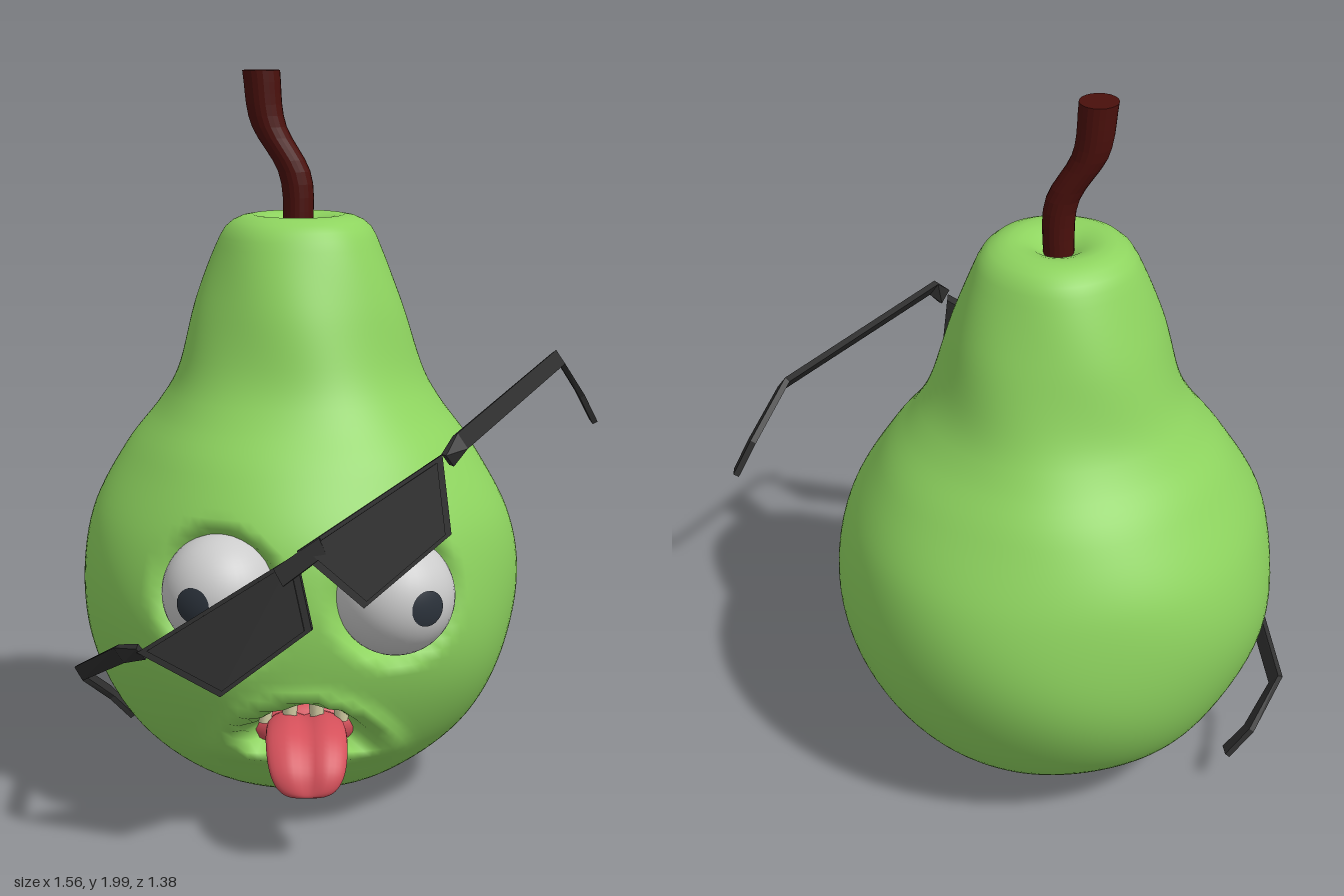
import * as THREE from 'three';
import { mergeVertices } from 'three/addons/utils/BufferGeometryUtils.js';
import { ConvexGeometry } from 'three/addons/geometries/ConvexGeometry.js';

const V = (x, y, z) => new THREE.Vector3(x, y, z);
const mat = (color) => new THREE.MeshStandardMaterial({ color });
const green = mat(0x8ed45f), dark = mat(0x2e2e2e), brown = mat(0x4a100c), pink = mat(0xd4505a);
const white = mat(0xcccccc), pupilMat = mat(0x2c333c), ivory = mat(0xd8d2a8);

function add(parent, name, geometry, material) {
  const mesh = new THREE.Mesh(geometry, material);
  mesh.name = name;
  parent.add(mesh);
  return mesh;
}

// Move every vertex by a rule, then weld and smooth
function warp(geometry, rule) {
  const p = geometry.attributes.position, v = V(0, 0, 0);
  for (let i = 0; i < p.count; i++) {
    rule(v.fromBufferAttribute(p, i));
    p.setXYZ(i, v.x, v.y, v.z);
  }
  geometry.deleteAttribute('uv');
  geometry.deleteAttribute('normal');
  const welded = mergeVertices(geometry, 1e-4);
  welded.computeVertexNormals();
  return welded;
}

// Eye centres in face space (face looks along local +z)
const EYES = [
  { name: 'leftEye', c: V(0.23, 0.685, 0.515), r: 0.155 },
  { name: 'rightEye', c: V(-0.215, 0.685, 0.465), r: 0.155 },
];

function pearGeometry() {
  const profile = new THREE.SplineCurve([
    [0, 0.01], [0.14, 0.025], [0.32, 0.1], [0.47, 0.23], [0.57, 0.41], [0.605, 0.6], [0.575, 0.8],
    [0.48, 0.98], [0.39, 1.1], [0.335, 1.2], [0.282, 1.38], [0.225, 1.53], [0.19, 1.59],
    [0.13, 1.615], [0.07, 1.6], [0.03, 1.57], [0, 1.56],
  ].map(([x, y]) => new THREE.Vector2(x, y))).getSpacedPoints(80);
  profile[0].x = profile[80].x = 0;
  return warp(new THREE.LatheGeometry(profile, 120), (v) => {
    const r = Math.hypot(v.x, v.z);
    if (r < 0.02) return;
    const a = Math.atan2(v.x, v.z);
    // Gentle unevenness of the skin
    let push = 0.006 * Math.sin(3 * a + 5 * v.y) * Math.sin(7 * v.y + 2 * a) * Math.min(1, r * 3);
    if (v.z > 0) {
      // Eye sockets
      for (const { c, r: er } of EYES) {
        const d = Math.hypot(v.x - c.x, v.y - c.y, (v.z - c.z) * 0.5);
        push -= 0.1 * (1 - THREE.MathUtils.smoothstep(d, er * 0.75, er * 1.2));
      }
      // Mouth hollow with raised lips
      const m = Math.hypot(v.x / 0.17, (v.y - 0.325 + v.x * v.x * 1.2) / 0.075);
      push -= 0.15 * (1 - THREE.MathUtils.smoothstep(m, 0.7, 1.1));
      push += 0.018 * Math.exp(-(((m - 1.3) / 0.25) ** 2));
    }
    v.x *= 1 + push / r;
    v.z *= 1 + push / r;
  });
}

function tongueGeometry() {
  const path = new THREE.CatmullRomCurve3([
    V(0, 0.3, 0.34), V(0, 0.33, 0.47), V(0, 0.315, 0.58), V(0, 0.26, 0.65), V(0, 0.2, 0.68)]);
  return warp(new THREE.SphereGeometry(1, 32, 32).rotateX(Math.PI / 2), (v) => {
    const t = THREE.MathUtils.clamp((v.z + 1) / 2, 0, 1);
    const p = path.getPoint(t), d = path.getTangent(t);
    const r = Math.hypot(v.x, v.y), k = r > 1e-5 ? Math.pow(r, 0.55) / r : 0;
    const x = v.x * k, y = v.y * k;
    // A groove along the middle of the upper side
    const h = y * 0.033 - (y > 0 ? 0.018 * y * Math.exp(-((x / 0.25) ** 2)) : 0);
    v.set(x * 0.105, p.y + h * d.z, p.z - h * d.y);
  });
}

function buildFace() {
  const face = new THREE.Group();
  face.name = 'pearWithFace';
  face.position.set(-0.01, 0, -0.09);
  face.rotation.y = THREE.MathUtils.degToRad(-39);
  add(face, 'pearBody', pearGeometry(), green);

  for (const { name, c, r } of EYES) {
    const eye = new THREE.Group();
    eye.name = name;
    eye.position.copy(c);
    eye.rotation.y = Math.sign(c.x) * 0.5;
    add(eye, 'eyeball', new THREE.SphereGeometry(r, 40, 28), white);
    // The pupil is a cap lying just above the eyeball
    add(eye, 'pupil', new THREE.SphereGeometry(r * 1.015, 24, 6, 0, Math.PI * 2, 0, 0.3)
      .rotateX(Math.PI / 2), pupilMat);
    face.add(eye);
  }

  const inner = add(face, 'mouthLining', new THREE.SphereGeometry(1, 32, 16), pink);
  inner.scale.set(0.15, 0.07, 0.06);
  inner.position.set(0, 0.3, 0.39);
  add(face, 'tongue', tongueGeometry(), pink);

  for (const x of [-0.105, -0.04, 0.03, 0.095]) {
    const tooth = add(face, 'tooth', new THREE.CylinderGeometry(0.024, 0.018, 0.06, 10), ivory);
    tooth.position.set(x, 0.375 - x * x * 1.2, 0.475 - x * x);
  }
  return face;
}

function stemGeometry() {
  const path = new THREE.CatmullRomCurve3([
    V(-0.015, 1.55, -0.085), V(-0.02, 1.72, -0.09), V(-0.07, 1.86, -0.145), V(-0.083, 2, -0.157)]);
  const geometry = new THREE.CylinderGeometry(0.051, 0.04, 1, 20, 14).toNonIndexed();
  const p = geometry.attributes.position;
  for (let i = 0; i < p.count; i++) {
    const c = path.getPoint(THREE.MathUtils.clamp(p.getY(i) + 0.5, 0, 1));
    p.setXYZ(i, p.getX(i) + c.x, c.y, p.getZ(i) + c.z);
  }
  return geometry;
}

// Slab from four corners, listed clockwise as seen from the front
function slab(corners, back, front, scale = 1) {
  const [a, b, c, d] = corners;
  const n = c.clone().sub(a).cross(d.clone().sub(b)).normalize();
  if (n.z < 0) n.negate();
  const mid = V(0, 0, 0).add(a).add(b).add(c).add(d).multiplyScalar(0.25);
  const pts = corners.flatMap((q) => {
    const s = mid.clone().lerp(q, scale);
    return [s.clone().addScaledVector(n, back), s.clone().addScaledVector(n, front)];
  });
  return new ConvexGeometry(pts);
}

// Flat bar along a polyline, thin across the glasses
const ACROSS = V(0.64, 0.56, 0.55).normalize();
function addBar(parent, name, pts, height, thickness) {
  const corners = pts.map((p, i) => {
    const dir = pts[Math.min(i + 1, pts.length - 1)].clone().sub(pts[Math.max(i - 1, 0)]).normalize();
    const up = ACROSS.clone().cross(dir).normalize().multiplyScalar(height / 2);
    const side = dir.clone().cross(up).normalize().multiplyScalar(thickness / 2);
    return [[1, 1], [1, -1], [-1, 1], [-1, -1]].map(([s, t]) =>
      p.clone().addScaledVector(up, s).addScaledVector(side, t));
  });
  for (let i = 1; i < pts.length; i++) {
    add(parent, name, new ConvexGeometry([...corners[i - 1], ...corners[i]]), dark);
  }
}

function buildGlasses() {
  const glasses = new THREE.Group();
  glasses.name = 'glasses';
  const left = [V(-0.175, 1.085, 0.64), V(-0.175, 0.89, 0.675), V(-0.37, 0.715, 0.57), V(-0.47, 0.85, 0.435)];
  const right = [V(-0.465, 0.84, 0.425), V(-0.455, 0.655, 0.475), V(-0.63, 0.485, 0.33), V(-0.755, 0.585, 0.155)];
  [['left', left], ['right', right]].forEach(([side, c]) => {
    add(glasses, side + 'Rim', slab(c, -0.018, 0.012), dark);
    add(glasses, side + 'Lens', slab(c, -0.014, 0.02, 0.9), dark);
  });
  add(glasses, 'bridge', slab([V(-0.43, 0.885, 0.475), V(-0.42, 0.845, 0.49),
    V(-0.505, 0.765, 0.425), V(-0.51, 0.805, 0.395)], -0.015, 0.015), dark);

  // Side arms with hooked ends
  addBar(glasses, 'leftArm', [V(-0.18, 1.075, 0.665), V(-0.14, 1.115, 0.668), V(0.585, 1.205, 0.33),
    V(0.71, 1.09, 0.3), V(0.76, 1.005, 0.31)], 0.046, 0.016);
  addBar(glasses, 'rightArm', [V(-0.745, 0.585, 0.16), V(-0.765, 0.57, 0.1), V(-0.42, 0.285, -0.58),
    V(-0.295, 0.19, -0.61), V(-0.235, 0.12, -0.585)], 0.046, 0.016);
  return glasses;
}

export function createModel() {
  const model = new THREE.Group();
  model.name = 'pearCharacter';
  model.add(buildFace());
  const stem = stemGeometry();
  stem.computeVertexNormals();
  add(model, 'stem', stem, brown);
  model.add(buildGlasses());
  return model;
}
